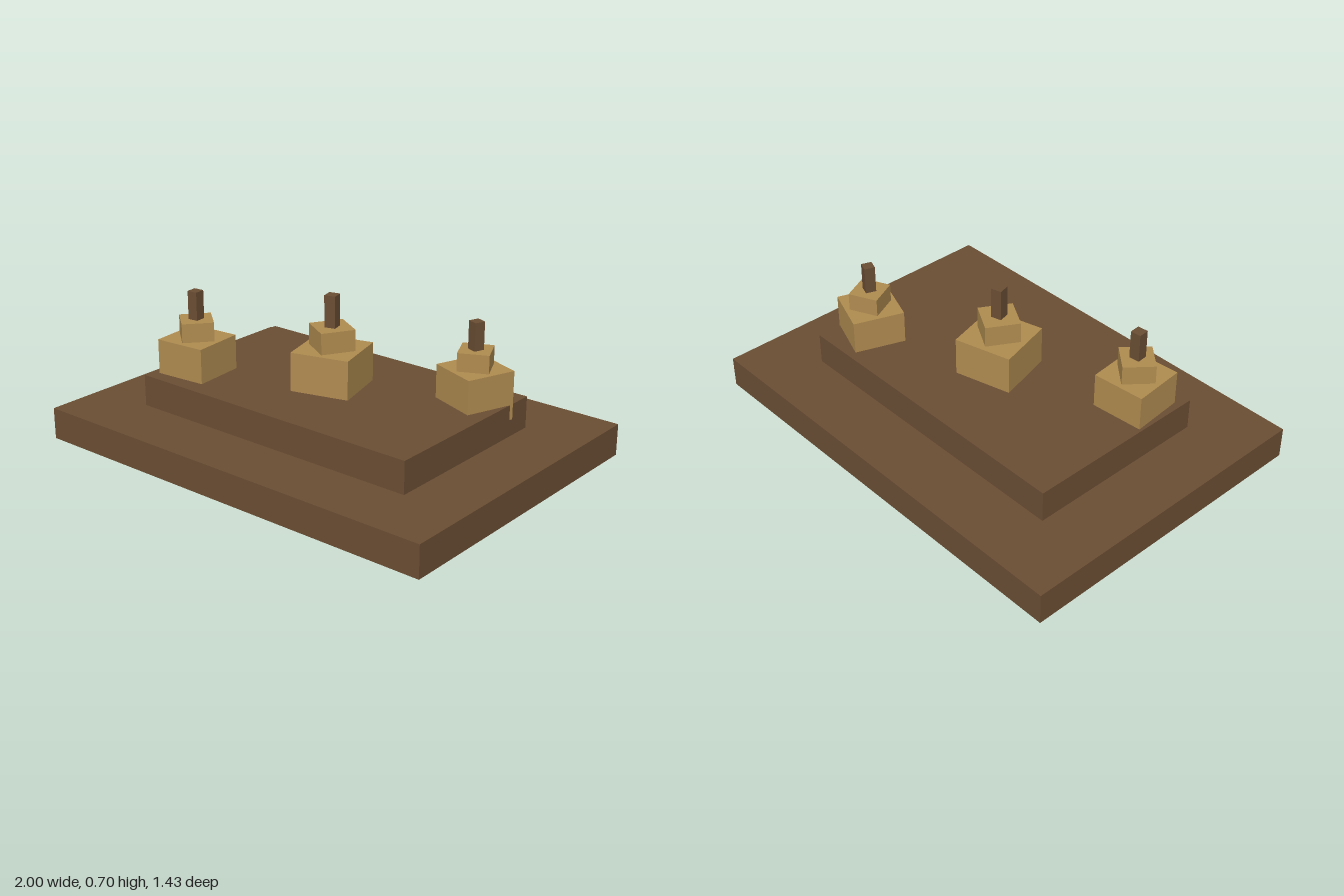
import * as THREE from 'three';

export function createModel() {
  const model = new THREE.Group();
  const brown = new THREE.MeshStandardMaterial({ name: 'dark brown', color: 0x6b4e34 });
  const tan = new THREE.MeshStandardMaterial({ name: 'tan', color: 0xb08c50 });

  // Box spanning bottom..top, centred on its parent's axis
  function addBox(parent, name, material, width, depth, bottom, top, degrees = 0) {
    const mesh = new THREE.Mesh(new THREE.BoxGeometry(width, top - bottom, depth), material);
    mesh.name = name;
    mesh.position.y = (bottom + top) / 2;
    mesh.rotation.y = THREE.MathUtils.degToRad(degrees);
    parent.add(mesh);
  }

  // Stepped platform
  addBox(model, 'lowerPlatform', brown, 2, 1.428, 0, 0.143);
  addBox(model, 'upperPlatform', brown, 1.428, 0.857, 0.143, 0.286);

  // Tower: sunken block, smaller block turned 45 degrees, and a post
  function addTower(name, x, z, turn, size, levels) {
    const tower = new THREE.Group();
    tower.name = name;
    tower.position.set(x, 0, z);
    const [bottom, blockTop, capTop, postTop] = levels;
    const [block, cap, post] = size;
    addBox(tower, 'towerBlock', tan, block, block, bottom, blockTop, turn);
    addBox(tower, 'towerCap', tan, cap, cap, blockTop, capTop, turn + 45);
    addBox(tower, 'towerPost', brown, post, post, capTop, postTop, turn);
    model.add(tower);
  }

  addTower('rightTower', -0.571, 0.24, 5, [0.24, 0.14, 0.048], [0.22, 0.443, 0.529, 0.657]);
  addTower('centreTower', 0, 0, 15, [0.266, 0.154, 0.05], [0.21, 0.46, 0.555, 0.697]);
  addTower('leftTower', 0.571, -0.243, -20, [0.231, 0.135, 0.047], [0.22, 0.436, 0.517, 0.64]);

  return model;
}
